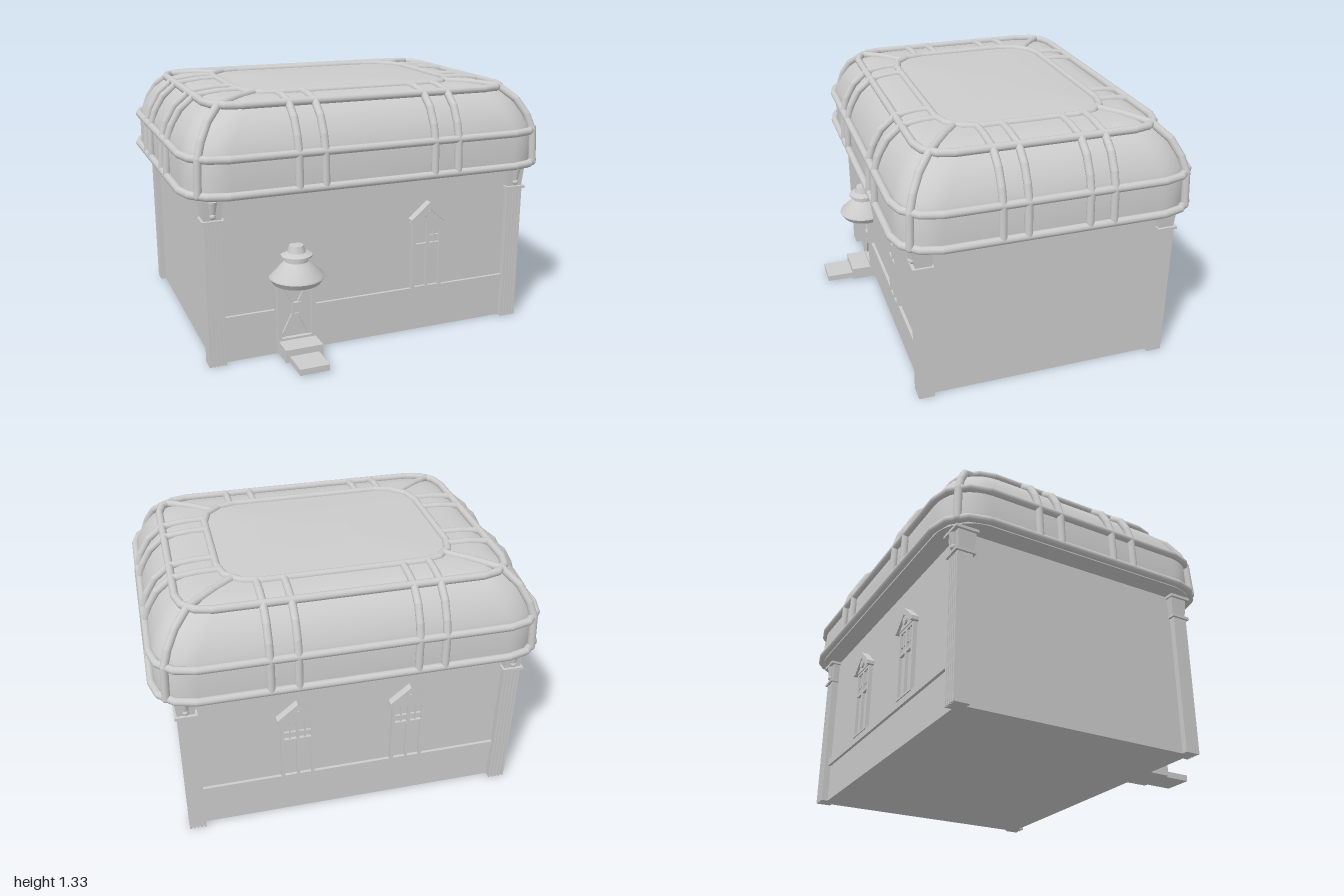
import * as THREE from 'three';
import { mergeGeometries, toCreasedNormals } from 'three/addons/utils/BufferGeometryUtils.js';

const mat = new THREE.MeshStandardMaterial({ color: 0xcccccc });
const ZC = -0.075; // centre of the building in depth
const FRONT = 0.57, BACK = -0.72, TUBE = 0.02;

function add(parent, name, geometry, x = 0, y = 0, z = 0) {
  const mesh = new THREE.Mesh(geometry, mat);
  mesh.name = name;
  mesh.position.set(x, y, z);
  parent.add(mesh);
  return mesh;
}

// box given by its limits
function block(parent, name, x0, x1, y0, y1, z0, z1) {
  return add(parent, name, new THREE.BoxGeometry(x1 - x0, y1 - y0, z1 - z0),
    (x0 + x1) / 2, (y0 + y1) / 2, (z0 + z1) / 2);
}

function group(parent, name, x = 0, y = 0, z = 0) {
  const g = new THREE.Group();
  g.name = name;
  g.position.set(x, y, z);
  parent.add(g);
  return g;
}

// rounded rectangle in plan, n steps per corner
function loop(hx, hz, r, y, n) {
  const pts = [];
  for (let q = 0; q < 4; q++) {
    const sx = q === 0 || q === 3 ? 1 : -1, sz = q < 2 ? 1 : -1;
    for (let i = 0; i <= n; i++) {
      const a = (q + i / n) * Math.PI / 2;
      pts.push(new THREE.Vector3(sx * (hx - r) + r * Math.cos(a), y, ZC + sz * (hz - r) + r * Math.sin(a)));
    }
  }
  return pts;
}

// surface through a stack of plan loops
function loft(loops) {
  const n = loops[0].length, index = [];
  for (let j = 0; j < loops.length - 1; j++)
    for (let i = 0; i < n; i++) {
      const a = j * n + i, b = j * n + (i + 1) % n;
      index.push(a, a + n, b, b, a + n, b + n);
    }
  const g = new THREE.BufferGeometry().setFromPoints(loops.flat());
  g.setIndex(index);
  return toCreasedNormals(g, 0.6);
}

// pipe along straight runs with ball joints
function pipe(pts, closed = false) {
  const parts = [], up = new THREE.Vector3(0, 1, 0);
  const count = closed ? pts.length : pts.length - 1;
  pts.forEach(p => parts.push(new THREE.SphereGeometry(TUBE, 12, 8).translate(p.x, p.y, p.z)));
  for (let i = 0; i < count; i++) {
    const a = pts[i], d = pts[(i + 1) % pts.length].clone().sub(a);
    const c = new THREE.CylinderGeometry(TUBE, TUBE, d.length(), 12, 1, true);
    c.translate(0, d.length() / 2, 0);
    c.applyQuaternion(new THREE.Quaternion().setFromUnitVectors(up, d.clone().normalize()));
    parts.push(c.translate(a.x, a.y, a.z));
  }
  return mergeGeometries(parts);
}

function shapeOf(points) {
  return new THREE.Shape(points.map(p => new THREE.Vector2(...p)));
}
const rect = (x0, x1, y0, y1) => [[x0, y0], [x1, y0], [x1, y1], [x0, y1]];
function panel(outline, holes, depth) {
  const s = shapeOf(outline);
  holes.forEach(h => s.holes.push(shapeOf(h)));
  return new THREE.ExtrudeGeometry(s, { depth, bevelEnabled: false });
}

function buildRoof(root) {
  const roof = group(root, 'roof');
  // half width, half depth, corner radius, height
  const dome = [
    [0, 0, 0, 0.88], [0.965, 0.745, 0.2, 0.88], [0.965, 0.745, 0.2, 1.06], [0.952, 0.732, 0.2, 1.11],
    [0.925, 0.706, 0.2, 1.17], [0.885, 0.668, 0.19, 1.23], [0.83, 0.615, 0.18, 1.28],
    [0.76, 0.56, 0.18, 1.306], [0.68, 0.5, 0.18, 1.315], [0, 0, 0, 1.317]];
  add(roof, 'dome', loft(dome.map(d => loop(...d, 8))));
  const frame = [
    [0.978, 0.76, 0.2, 0.9], [0.97, 0.753, 0.2, 1.075], [0.945, 0.73, 0.2, 1.155],
    [0.898, 0.685, 0.19, 1.235], [0.82, 0.608, 0.16, 1.298], [0.7, 0.515, 0.17, 1.312], [0.595, 0.433, 0.19, 1.314]];
  [0, 1, 4, 6].forEach(i => add(roof, 'roofRing', pipe(loop(...frame[i], 3), true)));
  // upright ribs on the four sides and at the corners
  for (const s of [-1, 1]) {
    for (const x of [-0.435, -0.3, 0.295, 0.43])
      add(roof, 'longSideRib', pipe(frame.map(f => new THREE.Vector3(x, f[3], ZC + s * f[1]))));
    for (const z of [-0.36, -0.235, 0.075, 0.2])
      add(roof, 'shortSideRib', pipe(frame.map(f => new THREE.Vector3(s * f[0], f[3], z))));
    for (const t of [-1, 1])
      add(roof, 'cornerRib', pipe(frame.map(f =>
        new THREE.Vector3(s * (f[0] - 0.29 * f[2]), f[3], ZC + t * (f[1] - 0.29 * f[2])))));
  }
}

// fluted corner pillar whose outer face looks along +z
function buildPillar(root, x, z, turn) {
  const p = group(root, 'pillar', x, 0, z);
  p.rotation.y = turn;
  block(p, 'shaft', -0.044, 0.044, 0, 0.88, -0.04, 0.032);
  for (let i = 0; i < 5; i++)
    block(p, 'flute', -0.044 + i * 0.0192, -0.0328 + i * 0.0192, 0, 0.755, 0.03, 0.042);
  block(p, 'lowerBand', -0.056, 0.056, 0.75, 0.765, -0.052, 0.053);
  const neck = new THREE.CylinderGeometry(0.052, 0.044, 0.1, 4, 1).toNonIndexed();
  neck.rotateY(Math.PI / 4).scale(1.41, 1, 1.3);
  neck.computeVertexNormals();
  add(p, 'neck', neck, 0, 0.815, -0.004);
  block(p, 'topBand', -0.065, 0.065, 0.865, 0.88, -0.06, 0.062);
  const bracket = new THREE.CylinderGeometry(0.027, 0.013, 0.07, 12);
  add(p, 'bracket', bracket, 0, 0.825, 0.038);
  add(p, 'bracketBall', new THREE.SphereGeometry(0.016, 12, 8), 0, 0.787, 0.042);
}

// gabled window with panes above and panels below
function buildWindow(root, x, z, turn, bothGrids) {
  const w = group(root, 'window', x, 0, z);
  w.rotation.y = turn;
  const left = [-0.07, -0.006], right = [0.01, 0.07];
  const holes = [
    rect(...left, 0.5, 0.61), rect(...right, 0.5, bothGrids ? 0.61 : 0.575),
    rect(...left, 0.257, 0.482), rect(...right, 0.257, 0.482)];
  add(w, 'windowFrame', panel(rect(-0.088, 0.088, 0.245, 0.63), holes, 0.022));
  block(w, 'windowBack', -0.08, 0.08, 0.25, 0.62, -0.01, 0.006);
  for (const [a, b] of bothGrids ? [left, right] : [right]) {
    const m = (a + b) / 2;
    block(w, 'uprightBar', m - 0.004, m + 0.004, 0.5, 0.61, 0, 0.017);
    block(w, 'crossBar', a, b, 0.534, 0.542, 0, 0.017);
  }
  // gable with raised slopes and a round boss
  add(w, 'gable', panel([[-0.095, 0.625], [0.095, 0.625], [0.095, 0.64], [0, 0.72], [-0.095, 0.64]], [], 0.026));
  add(w, 'gableRoof', panel([[-0.106, 0.622], [-0.085, 0.622], [0, 0.695], [0.085, 0.622],
    [0.106, 0.622], [0.106, 0.643], [0, 0.732], [-0.106, 0.643]], [], 0.04));
  const boss = new THREE.CylinderGeometry(0.023, 0.023, 0.012, 20).rotateX(Math.PI / 2);
  add(w, 'boss', boss, 0, 0.662, 0.03);
}

function buildEntrance(root) {
  const e = group(root, 'entrance', -0.428, 0, FRONT);
  add(e, 'doorFrame', panel(rect(-0.103, 0.103, 0.01, 0.42), [rect(-0.08, 0.08, 0.09, 0.4)], 0.03));
  block(e, 'doorPanel', -0.09, 0.09, 0.08, 0.41, -0.01, 0.008);
  // crossed braces with a centre plate
  for (const s of [-1, 1]) {
    const brace = add(e, 'brace', new THREE.BoxGeometry(0.018, 0.335, 0.014), 0, 0.245, 0.012);
    brace.rotation.z = s * 0.465;
  }
  add(e, 'centrePlate', panel(rect(-0.024, 0.024, 0.208, 0.278), [rect(-0.013, 0.013, 0.22, 0.266)], 0.028));
  block(e, 'centreInset', -0.015, 0.015, 0.215, 0.27, 0, 0.022);
  block(e, 'upperStep', -0.1, 0.1, 0.01, 0.078, 0, 0.14);
  block(e, 'lowerStep', -0.078, 0.078, 0.01, 0.043, 0.1, 0.29);
  block(e, 'stepRiser', -0.08, 0.08, 0.018, 0.036, 0.13, 0.145);
  // two-tier canopy
  const profile = [[0, 0.405], [0.115, 0.395], [0.122, 0.395], [0.142, 0.425], [0.138, 0.435], [0.06, 0.508],
    [0.06, 0.525], [0.08, 0.532], [0.08, 0.542], [0.047, 0.555], [0.036, 0.59], [0, 0.592]];
  const canopy = new THREE.LatheGeometry(profile.map(p => new THREE.Vector2(...p)), 28);
  add(e, 'canopy', toCreasedNormals(canopy, 0.5), 0, 0, 0.03);
}

export function createModel() {
  const root = new THREE.Group();
  root.name = 'building';
  block(root, 'walls', -0.86, 0.855, 0, 0.885, BACK, FRONT);
  // belt course, broken by the entrance at the front
  block(root, 'frontBelt', -0.81, -0.54, 0.21, 0.25, FRONT - 0.01, FRONT + 0.016);
  block(root, 'frontBelt', -0.315, 0.81, 0.21, 0.25, FRONT - 0.01, FRONT + 0.016);
  block(root, 'backBelt', -0.81, 0.81, 0.21, 0.25, BACK - 0.016, BACK + 0.01);
  for (const x of [-0.847, 0.837]) {
    buildPillar(root, x, 0.56, 0);
    buildPillar(root, x, -0.715, Math.PI);
  }
  buildWindow(root, 0.315, FRONT, 0, false);
  buildWindow(root, 0.29, BACK, Math.PI, true);
  buildWindow(root, -0.3, BACK, Math.PI, true);
  buildEntrance(root);
  buildRoof(root);
  return root;
}
